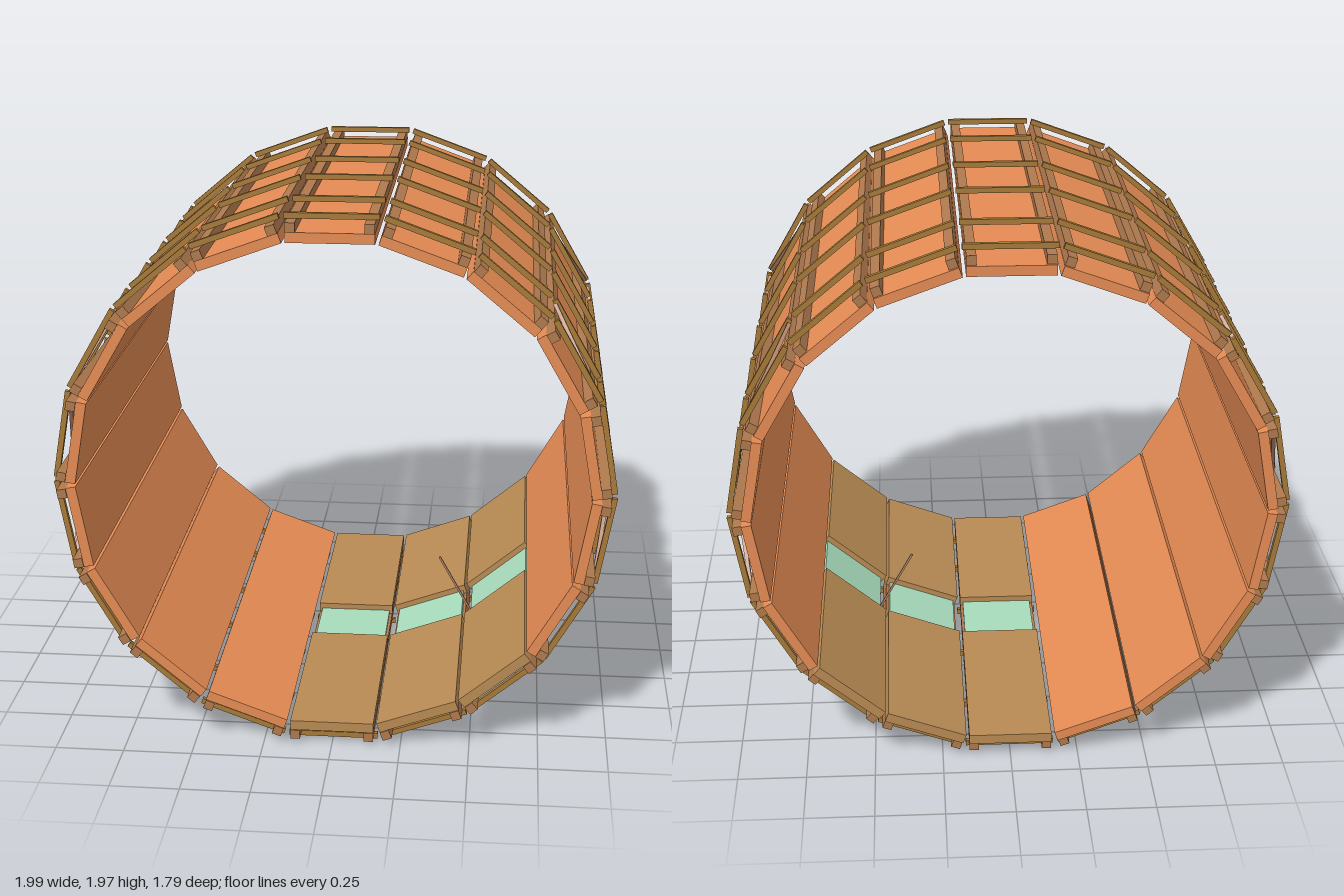
import * as THREE from 'three';

const SIDES = 18, CENTRE_Y = 0.987;
const RIB_Z = [-0.815, -0.547, -0.168, 0.174, 0.552, 0.82];
const mat = (color) => new THREE.MeshStandardMaterial({ color, flatShading: true });

// Box given by its min and max on each axis
function slab(name, material, [x0, x1], [y0, y1], [z0, z1]) {
  const m = new THREE.Mesh(new THREE.BoxGeometry(x1 - x0, y1 - y0, z1 - z0), material);
  m.name = name;
  m.position.set((x0 + x1) / 2, (y0 + y1) / 2, (z0 + z1) / 2);
  return m;
}

// Square rod between two points
function rod(name, material, a, b, t) {
  const m = new THREE.Mesh(new THREE.BoxGeometry(t, t, a.distanceTo(b)), material);
  m.name = name;
  m.position.copy(a).add(b).multiplyScalar(0.5);
  m.lookAt(b);
  return m;
}

// Diagonal braces by segment angle: [z at lower edge, z at upper edge]
const BRACES = {
  30: [[0.8, 0.58], [-0.79, -0.57]],
  10: [[0.58, 0.8], [-0.57, -0.79]],
  [-10]: [[0.8, 0.58], [-0.79, -0.57], [0.2, 0.54], [-0.19, -0.53], [0.16, -0.15], [-0.15, 0.16]],
  [-30]: [[0.54, 0.19], [-0.53, -0.18], [-0.57, -0.79], [0.16, -0.15], [-0.15, 0.16]],
};

export function createModel() {
  const model = new THREE.Group();
  model.name = 'segmentedDrum';
  const wood = mat(0xe68c54), floorWood = mat(0xb98b54), beam = mat(0xb07a4e);
  const ribMat = mat(0xa87a38), braceMat = mat(0xb58468), glass = mat(0xa8dcbc);

  for (let i = 0; i < SIDES; i++) {
    const deg = 10 + i * 20;
    const seg = new THREE.Group();
    seg.name = 'segment';
    seg.position.y = CENTRE_Y;
    seg.rotation.z = THREE.MathUtils.degToRad(deg - 90);

    // Inner panel; three floor panels have a window in the middle
    const w = [-0.152, 0.152], r = [0.894, 0.93];
    if (deg === 270 || deg === 290 || deg === 310) {
      seg.add(slab('floorPanelBack', floorWood, w, r, [-0.897, -0.135]));
      seg.add(slab('floorPanelFront', floorWood, w, r, [0.145, 0.888]));
      seg.add(slab('window', glass, [-0.14, 0.14], [0.916, 0.928], [-0.135, 0.145]));
    } else {
      seg.add(slab('panel', wood, w, r, [-0.897, 0.888]));
    }

    // Long beams along both edges
    for (const x of [-0.134, 0.134])
      seg.add(slab('edgeBeam', beam, [x - 0.017, x + 0.017], [0.93, 0.964], [-0.887, 0.893]));

    // Outer ribs
    for (const z of RIB_Z)
      seg.add(slab('rib', ribMat, [-0.163, 0.163], [0.964, 0.984], [z - 0.009, z + 0.009]));

    // Diagonal braces, mirrored on the two flanks
    const right = Math.cos(THREE.MathUtils.degToRad(deg)) > 0;
    const tilt = right ? (deg > 180 ? deg - 360 : deg) : 180 - deg;
    const up = right ? -1 : 1;
    for (const [zLow, zHigh] of BRACES[tilt] || []) {
      seg.add(rod('brace', braceMat,
        new THREE.Vector3(-0.155 * up, 0.97, zLow),
        new THREE.Vector3(0.155 * up, 0.97, zHigh), 0.014));
    }
    model.add(seg);
  }

  // Thin lever rising from the floor seam
  model.add(rod('lever', braceMat,
    new THREE.Vector3(0.49, 0.13, 0), new THREE.Vector3(0.35, 0.38, 0), 0.008));
  return model;
}
